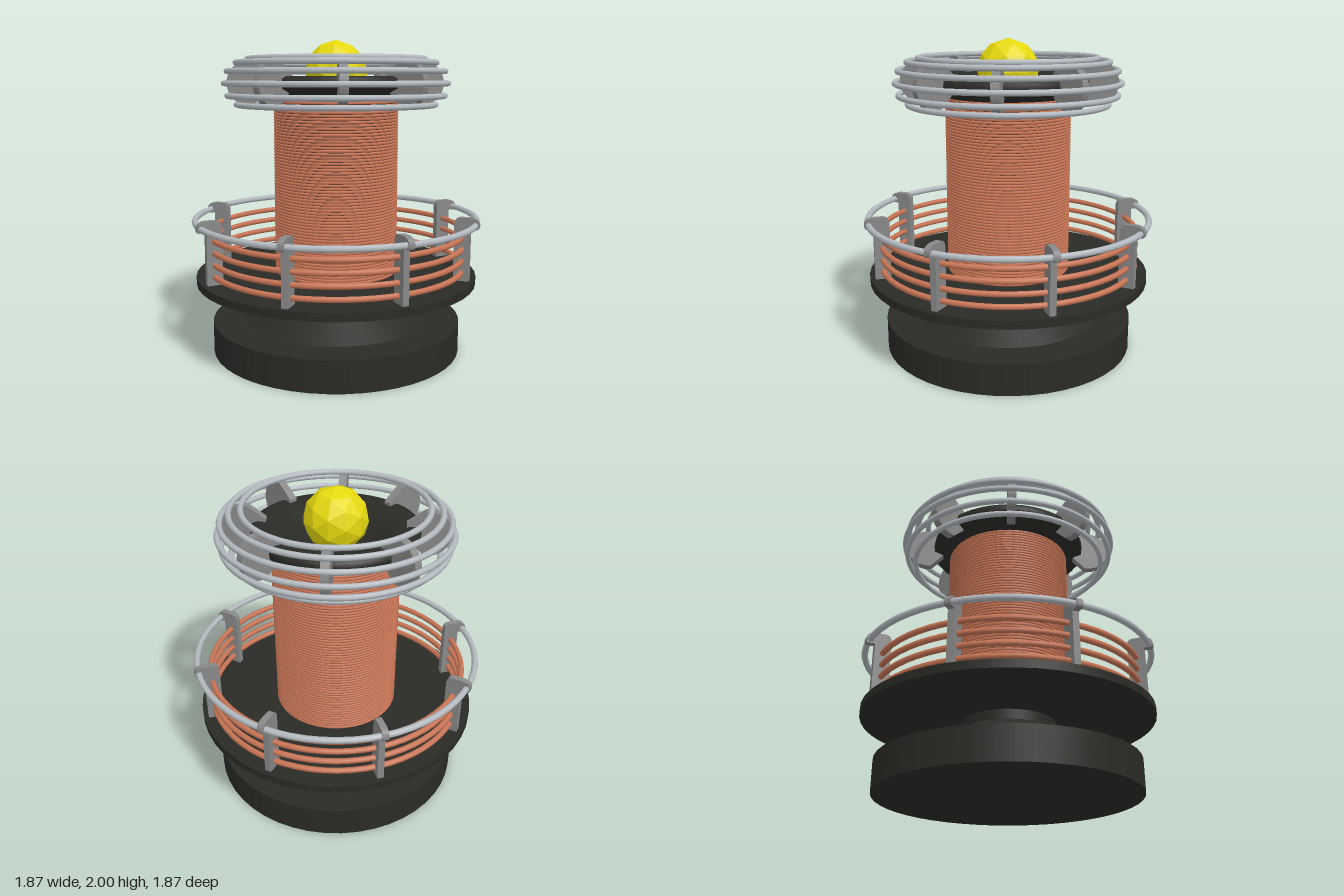
import * as THREE from 'three';

const mat = (color, extra = {}) => new THREE.MeshStandardMaterial({ color, ...extra });

export function createModel() {
  const model = new THREE.Group();
  const dark = mat(0x2a2a26, { flatShading: false });
  const copper = mat(0xc87555);
  const silver = mat(0xb4bac0);
  const grey = mat(0x888888);
  const yellow = mat(0xe5d80e, { flatShading: true });

  const add = (name, geometry, material, y = 0, parent = model) => {
    const mesh = new THREE.Mesh(geometry, material);
    mesh.name = name;
    mesh.position.y = y;
    parent.add(mesh);
    return mesh;
  };
  const ring = (name, r, tube, y, material, sides = 8, segments = 64) =>
    add(name, new THREE.TorusGeometry(r, tube, sides, segments).rotateX(Math.PI / 2), material, y);
  const drum = (name, rTop, rBottom, y0, y1, material) =>
    add(name, new THREE.CylinderGeometry(rTop, rBottom, y1 - y0, 48), material, (y0 + y1) / 2);

  // A flat plate in the radial plane, repeated eight times about the axis
  const radialPlates = (name, shape, thickness, offset) => {
    const geometry = new THREE.ExtrudeGeometry(shape, {
      depth: thickness, bevelEnabled: false, curveSegments: 10,
    }).translate(0, 0, -thickness / 2);
    for (let i = 0; i < 8; i++) {
      add(name, geometry, grey).rotation.y = offset + i * Math.PI / 4;
    }
  };

  // Base, tapered shoulder, neck and round platform
  drum('base', 0.81, 0.81, 0, 0.2, dark);
  drum('shoulder', 0.3, 0.6, 0.2, 0.4, dark);
  drum('neck', 0.3, 0.3, 0.4, 0.46, dark);
  drum('platform', 0.91, 0.91, 0.46, 0.51, dark);

  // Tall winding around a dark core
  drum('coilCore', 0.385, 0.385, 0.51, 1.64, dark);
  const turns = 60;
  for (let i = 0; i < turns; i++) {
    ring('coilTurn', 0.39, 0.0095, 0.52 + i * (1.115 / (turns - 1)), copper, 6, 48);
  }

  // Wide outer winding and guard rail
  for (let i = 0; i < 4; i++) ring('outerTurn', 0.83, 0.018, 0.56 + i * 0.075, copper);
  ring('guardRail', 0.91, 0.02, 0.865, silver);

  // Posts with a rounded clip gripping the guard rail
  const post = new THREE.Shape();
  post.moveTo(0.78, 0.51);
  post.lineTo(0.88, 0.51);
  post.lineTo(0.88, 0.84);
  post.lineTo(0.92, 0.84);
  post.quadraticCurveTo(0.935, 0.84, 0.935, 0.86);
  post.quadraticCurveTo(0.935, 0.912, 0.87, 0.912);
  post.lineTo(0.82, 0.912);
  post.quadraticCurveTo(0.78, 0.91, 0.78, 0.87);
  radialPlates('post', post, 0.04, 0);

  // Dished plate crowning the coil
  const dish = [
    [0, 1.6], [0.39, 1.6], [0.39, 1.64], [0.47, 1.685], [0.505, 1.7], [0.51, 1.73],
    [0.505, 1.76], [0.47, 1.775], [0.38, 1.765], [0.3, 1.74], [0.24, 1.69], [0.14, 1.65], [0, 1.64],
  ].map(([x, y]) => new THREE.Vector2(x, y));
  add('topDish', new THREE.LatheGeometry(dish, 48), mat(0x2a2a26, { side: THREE.DoubleSide }));

  // Hoops lying on a doughnut around the dish
  const hoops = [[0.56, 1.88], [0.632, 1.857], [0.688, 1.804], [0.708, 1.73], [0.688, 1.653], [0.632, 1.598]];
  for (const [r, y] of hoops) ring('topHoop', r, 0.018, y, silver);

  // Rounded brackets holding the hoops
  const bracket = new THREE.Shape();
  bracket.moveTo(0.42, 1.7);
  bracket.lineTo(0.5, 1.62);
  bracket.absarc(0.55, 1.73, 0.14, -Math.PI * 0.55, Math.PI * 0.55, false);
  bracket.lineTo(0.42, 1.79);
  radialPlates('hoopBracket', bracket, 0.05, Math.PI / 8);

  // Faceted ball on top
  add('ball', new THREE.IcosahedronGeometry(0.2, 1), yellow, 1.8);

  return model;
}
